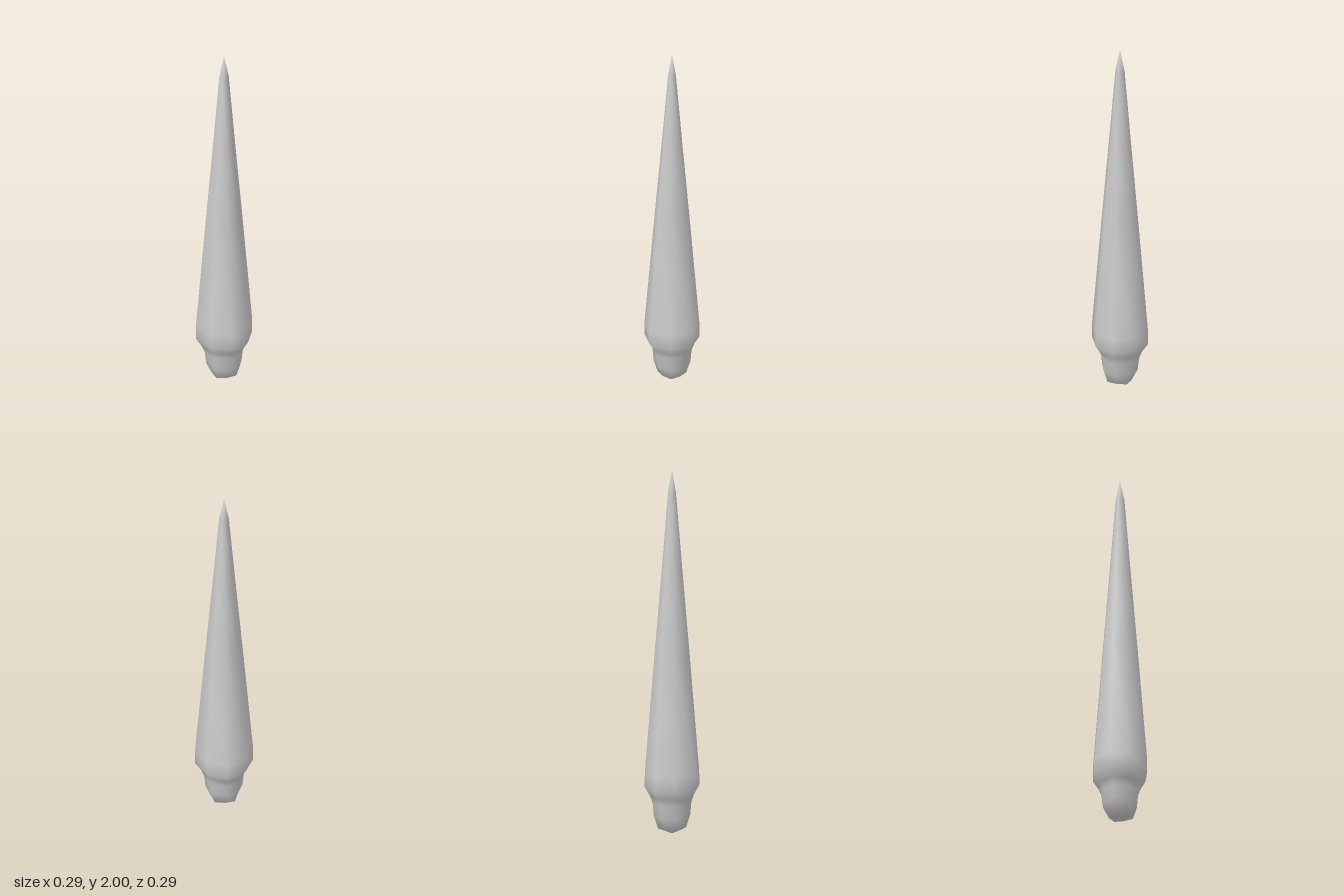
import * as THREE from 'three';
import { mergeVertices } from 'three/addons/utils/BufferGeometryUtils.js';

// Profile rings from bottom to top: height, radius on the axes, radius on the diagonals
const RINGS = [
  [0.00, 0, 0],
  [0.03, 0.075, 0.063],
  [0.10, 0.098, 0.098],
  [0.17, 0.104, 0.106],
  [0.21, 0.118, 0.122],
  [0.26, 0.147, 0.155],
  [0.34, 0.146, 0.155],
  [1.00, 0.093, 0.100],
  [1.45, 0.055, 0.061],
  [1.87, 0.021, 0.026],
  [2.00, 0, 0],
];

// Eight-sided lathe whose diagonal corners follow their own radius
function spikeGeometry() {
  const sides = 8;
  const points = RINGS.map(([y, r]) => new THREE.Vector2(r, y));
  let geo = new THREE.LatheGeometry(points, sides);
  const pos = geo.attributes.position;
  for (let i = 0; i < pos.count; i++) {
    const side = Math.floor(i / RINGS.length);
    const [y, axisR, diagR] = RINGS[i % RINGS.length];
    const r = side % 2 ? diagR : axisR;
    const a = (side % sides) * Math.PI * 2 / sides;
    pos.setXYZ(i, r * Math.sin(a), y, r * Math.cos(a));
  }
  // Weld the seam and poles so the shading is smooth all round
  geo.deleteAttribute('uv');
  geo.deleteAttribute('normal');
  geo = mergeVertices(geo, 1e-5);
  geo.computeVertexNormals();
  return geo;
}

export function createModel() {
  const group = new THREE.Group();
  group.name = 'spike';
  const body = new THREE.Mesh(
    spikeGeometry(),
    new THREE.MeshStandardMaterial({ color: 0xcccccc }),
  );
  body.name = 'spikeBody';
  group.add(body);
  return group;
}
